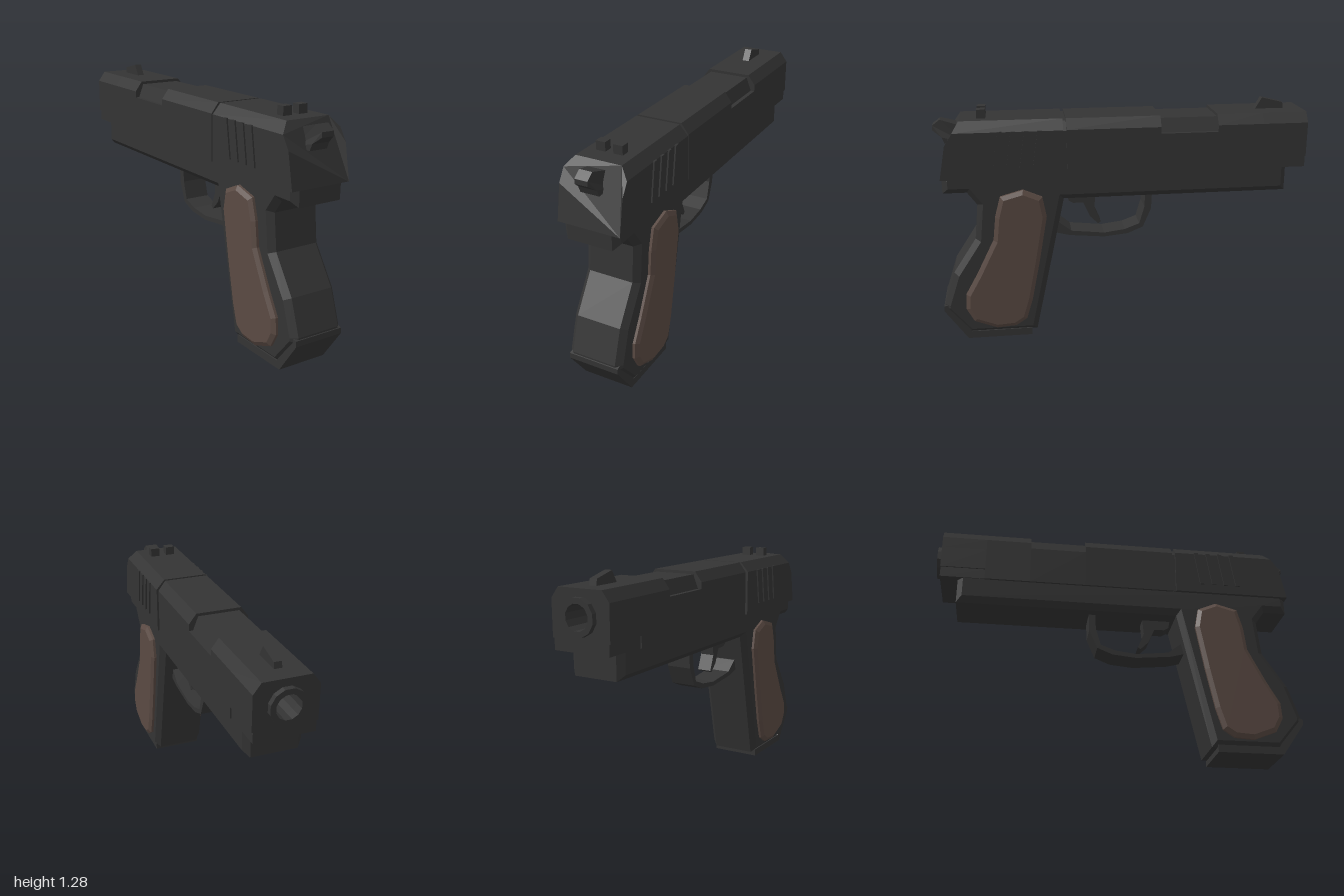
import * as THREE from 'three';

const gunmetal = new THREE.MeshStandardMaterial({ color: 0x343434 });
gunmetal.name = 'gunmetal';
const walnut = new THREE.MeshStandardMaterial({ color: 0x5a4a43 });
walnut.name = 'walnut';

const toShape = (pts) => new THREE.Shape(pts.map(([a, b]) => new THREE.Vector2(a, b)));

// Side outline given as [z, y], extruded across x and centred, with an inward bevel
function sideGeometry(pts, halfWidth, bevel = 0, bevelDepth = bevel) {
  const depth = 2 * (halfWidth - bevelDepth);
  const geo = new THREE.ExtrudeGeometry(toShape(pts), {
    depth, bevelEnabled: bevel > 0, bevelSize: bevel, bevelOffset: -bevel,
    bevelThickness: bevelDepth, bevelSegments: 1,
  });
  return geo.translate(0, 0, -depth / 2).rotateY(-Math.PI / 2);
}

// Cross-section given as [x, y], extruded from z0 to z1
function lengthGeometry(pts, z0, z1, hole) {
  const shape = toShape(pts);
  if (hole) shape.holes.push(new THREE.Path(hole.map(([a, b]) => new THREE.Vector2(a, b))));
  return new THREE.ExtrudeGeometry(shape, { depth: z1 - z0, bevelEnabled: false }).translate(0, 0, z0);
}

// Half of a cross-section mirrored into a closed loop
const mirrored = (half) => [...half, ...half.map(([x, y]) => [-x, y]).reverse()];
const slideSection = (w, bottom) =>
  mirrored([[w, bottom], [w, 1.1], [w, 1.165], [0.122, 1.218]]);
const ring = (r, n = 12) => Array.from({ length: n }, (_, i) => {
  const a = ((i + 0.5) / n) * Math.PI * 2;
  return [r * Math.cos(a), 1.09 + r * Math.sin(a)];
});

export function createModel() {
  const model = new THREE.Group();
  model.name = 'pistol';
  const add = (name, geo, mat = gunmetal) => {
    const mesh = new THREE.Mesh(geo, mat);
    mesh.name = name;
    model.add(mesh);
    return mesh;
  };

  // Frame and grip in one outline
  add('frame', sideGeometry([
    [-0.875, 0.785], [0.335, 0.785], [0.5, 0.03], [0.87, 0.03], [0.995, 0.18], [0.995, 0.21],
    [0.935, 0.39], [0.81, 0.58], [0.79, 0.77], [0.84, 0.838], [0.965, 0.838], [0.965, 0.92],
    [0.93, 0.97], [-0.875, 0.97],
  ].reverse(), 0.15, 0.03));
  add('basePlate', sideGeometry([
    [0.53, 0], [0.53, 0.04], [0.86, 0.04], [0.96, 0.21], [1, 0.2], [1, 0.17], [0.88, 0],
  ], 0.138));

  // Slide: rear section with a sloping back
  const rear = lengthGeometry(slideSection(0.167, 0.92), 0.332, 0.97);
  const pos = rear.attributes.position;
  for (let i = 0; i < pos.count; i++) {
    if (pos.getZ(i) < 0.9) continue;
    const y = pos.getY(i);
    pos.setZ(i, y < 1.11 ? 0.97 - (y - 0.92) * 0.19 : 0.936 - (y - 1.1) * 0.64);
  }
  rear.computeVertexNormals();
  add('slideRear', rear);

  // Slide: narrow groove, middle, lowered port and nose
  add('slideGroove', lengthGeometry(
    mirrored([[0.152, 0.92], [0.152, 1.158], [0.115, 1.205]]), 0.3, 0.34));
  add('slideMiddle', lengthGeometry(slideSection(0.162, 0.92), -0.18, 0.315));
  add('portFloor', lengthGeometry(mirrored([[0.162, 0.92], [0.162, 1.13]]), -0.485, -0.18));
  add('portBarrel', lengthGeometry(mirrored([[0.14, 1.13], [0.112, 1.203]]), -0.485, -0.18));
  add('slideFront', lengthGeometry(slideSection(0.162, 0.92), -0.73, -0.485));
  add('slideNose', lengthGeometry(slideSection(0.162, 0.98), -0.972, -0.73, ring(0.085)));
  add('noseUnderside', lengthGeometry(mirrored([[0.155, 0.922], [0.155, 0.98]]), -0.97, -0.73));

  // Barrel with an open bore
  add('barrel', lengthGeometry(ring(0.092), -1, -0.95, ring(0.064)));
  add('bore', lengthGeometry(ring(0.088), -0.95, -0.73, ring(0.064)));

  // Slanted grip ribs and grip panels on both sides
  const panel = [
    [0.67, 0.82], [0.55, 0.853], [0.45, 0.81], [0.43, 0.7], [0.475, 0.45], [0.52, 0.23],
    [0.555, 0.115], [0.615, 0.075], [0.72, 0.068], [0.84, 0.115], [0.88, 0.19], [0.875, 0.275],
    [0.81, 0.39], [0.715, 0.58], [0.7, 0.71],
  ];
  for (const side of [1, -1]) {
    const label = side > 0 ? 'left' : 'right';
    for (let i = 0; i < 4; i++) {
      const z = 0.44 + i * 0.068;
      add(`${label}Rib${i + 1}`, sideGeometry(
        [[z, 1.168], [z + 0.024, 1.168], [z + 0.054, 0.97], [z + 0.03, 0.97]], 0.012))
        .position.x = side * 0.163;
    }
    add(`${label}GripPanel`, sideGeometry(panel, 0.032, 0.022, 0.014), walnut)
      .position.x = side * 0.146;
    // Rear sight post
    const post = add(`${label}RearSight`, new THREE.BoxGeometry(0.05, 0.06, 0.045));
    post.position.set(side * 0.046, 1.234, 0.748);
  }

  add('frontSight', sideGeometry(
    [[-0.715, 1.21], [-0.755, 1.278], [-0.87, 1.25], [-0.875, 1.21]], 0.02));

  // Hammer, narrowing toward its spur
  const hammer = sideGeometry([
    [0.84, 1.09], [0.94, 1.085], [0.955, 1.12], [1, 1.155], [1, 1.18], [0.96, 1.21], [0.84, 1.175],
  ], 0.05);
  const hp = hammer.attributes.position;
  for (let i = 0; i < hp.count; i++) {
    if (hp.getY(i) > 1.15 && hp.getZ(i) > 0.9) hp.setX(i, hp.getX(i) * 0.68);
  }
  hammer.computeVertexNormals();
  add('hammer', hammer);

  // Trigger and its guard
  add('triggerGuard', sideGeometry([
    [-0.15, 0.8], [-0.145, 0.69], [-0.1, 0.585], [-0.015, 0.55], [0.115, 0.537], [0.305, 0.555],
    [0.4, 0.58], [0.39, 0.65], [0.365, 0.635], [0.295, 0.58], [0.115, 0.56], [0, 0.575],
    [-0.08, 0.605], [-0.108, 0.7], [-0.113, 0.8],
  ], 0.07));
  add('trigger', sideGeometry([
    [0.315, 0.8], [0.305, 0.745], [0.28, 0.73], [0.225, 0.73], [0.19, 0.65], [0.145, 0.605],
    [0.13, 0.615], [0.165, 0.7], [0.155, 0.8],
  ], 0.04));

  return model;
}
